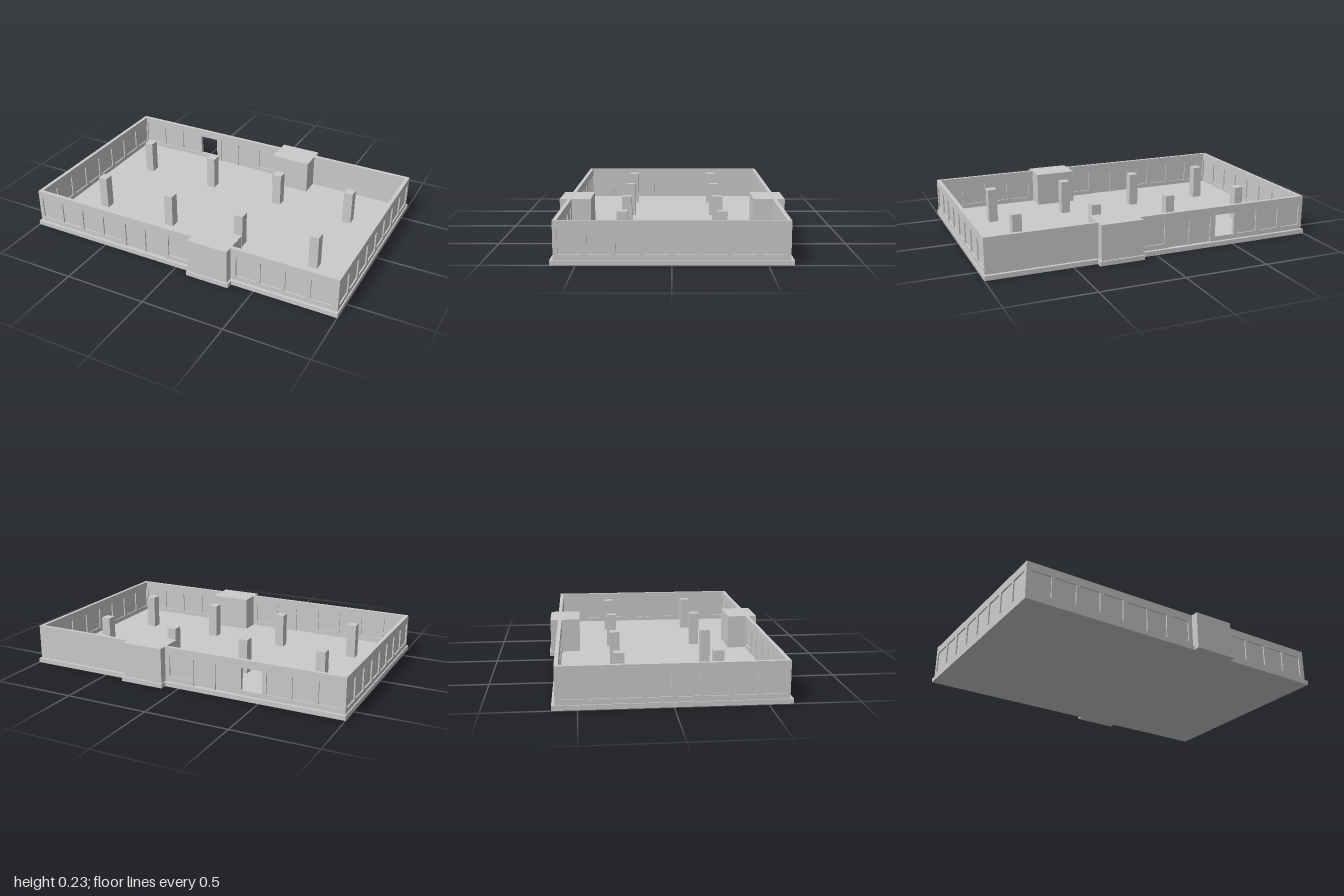
import * as THREE from 'three';

const FLOOR = 0.027, TOP = 0.235;       // slab top, wall top
const X = 0.993, Z = 0.617, T = 0.022;  // outer wall faces, wall thickness
const WIN = { w: 0.126, y0: 0.055, y1: 0.187 };
const DOOR = { w: 0.128, y0: FLOOR, y1: 0.183 };

const material = new THREE.MeshStandardMaterial({ color: 0xcccccc, flatShading: true });

function box(name, w, h, d, x, y, z) {
  const mesh = new THREE.Mesh(new THREE.BoxGeometry(w, h, d), material);
  mesh.name = name;
  mesh.position.set(x, y + h / 2, z);
  return mesh;
}

function polygon(points) {
  return new THREE.Shape(points.map(([x, y]) => new THREE.Vector2(x, y)));
}

// Wall in the local xy plane, thickness centred on z = 0, with recessed infill panels.
// Each opening: { x: centre, kind: WIN or DOOR, open: true for no infill }
function wall(name, x0, x1, openings) {
  const group = new THREE.Group();
  group.name = name;

  // Outline is notched at the floor for doors
  const outline = [[x0, FLOOR]];
  for (const { x, kind } of openings.filter(o => o.kind === DOOR)) {
    const a = x - kind.w / 2, b = x + kind.w / 2;
    outline.push([a, FLOOR], [a, kind.y1], [b, kind.y1], [b, FLOOR]);
  }
  outline.push([x1, FLOOR], [x1, TOP], [x0, TOP]);
  const shape = polygon(outline);
  for (const { x, kind } of openings.filter(o => o.kind === WIN)) {
    const a = x - kind.w / 2, b = x + kind.w / 2;
    shape.holes.push(polygon([[a, kind.y0], [a, kind.y1], [b, kind.y1], [b, kind.y0]]));
  }
  const geometry = new THREE.ExtrudeGeometry(shape, { depth: T, bevelEnabled: false });
  geometry.translate(0, 0, -T / 2);
  const frame = new THREE.Mesh(geometry, material);
  frame.name = name + 'Frame';
  group.add(frame);

  for (const { x, kind, open } of openings) {
    if (open) continue;
    group.add(box(kind === DOOR ? 'doorLeaf' : 'windowPane',
      kind.w, kind.y1 - kind.y0, 0.006, x, kind.y0, 0));
  }
  return group;
}

export function createModel() {
  const model = new THREE.Group();
  model.name = 'building';

  // Floor slab with a projection under each stair core
  const sx = 1, sz = 0.635, pz = 0.675, p0 = 0.09, p1 = 0.36;
  const slabShape = polygon([
    [-sx, -sz], [p0, -sz], [p0, -pz], [p1, -pz], [p1, -sz], [sx, -sz],
    [sx, sz], [p1, sz], [p1, pz], [p0, pz], [p0, sz], [-sx, sz],
  ]);
  const slabGeometry = new THREE.ExtrudeGeometry(slabShape, { depth: FLOOR, bevelEnabled: false });
  slabGeometry.rotateX(-Math.PI / 2);
  const slab = new THREE.Mesh(slabGeometry, material);
  slab.name = 'floorSlab';
  model.add(slab);

  // Openings along the long walls: windows and a double door
  const pitch = 0.151;
  const westPart = [
    ...[0, 1, 2, 3].map(i => ({ x: -0.904 + i * pitch, kind: WIN })),
    { x: -0.291, kind: DOOR },
    { x: -0.153, kind: DOOR },
    { x: 0.004, kind: WIN },
  ];
  const eastPart = [0, 1, 2, 3].map(i => ({ x: 0.444 + i * 0.1503, kind: WIN }));

  // Front wall is fully glazed; back wall has one open window and a plain end
  const front = wall('frontWall', -X, X, [...westPart, ...eastPart]);
  front.position.z = Z - T / 2;
  const back = wall('backWall', -X, X, westPart.map((o, i) => ({ ...o, open: i === 3 })));
  back.position.z = -Z + T / 2;
  model.add(front, back);

  // Side walls with eight windows each, fitted between the long walls
  const sideOpenings = Array.from({ length: 8 }, (_, i) => ({ x: (i - 3.5) * 0.1513, kind: WIN }));
  for (const side of [-1, 1]) {
    const sideWall = wall(side > 0 ? 'leftWall' : 'rightWall', -Z + T, Z - T, sideOpenings);
    sideWall.rotation.y = Math.PI / 2;
    sideWall.position.x = side * (X - T / 2);
    model.add(sideWall);
  }

  // Stair cores and columns, mirrored front to back
  for (const side of [-1, 1]) {
    model.add(box(side > 0 ? 'frontCore' : 'backCore',
      0.253, TOP - FLOOR, 0.184, 0.222, FLOOR, side * 0.573));
    for (let i = 0; i < 4; i++) {
      model.add(box('column', 0.056, TOP - FLOOR, 0.058,
        -0.733 + i * 0.484, FLOOR, side * 0.273));
    }
  }
  return model;
}
